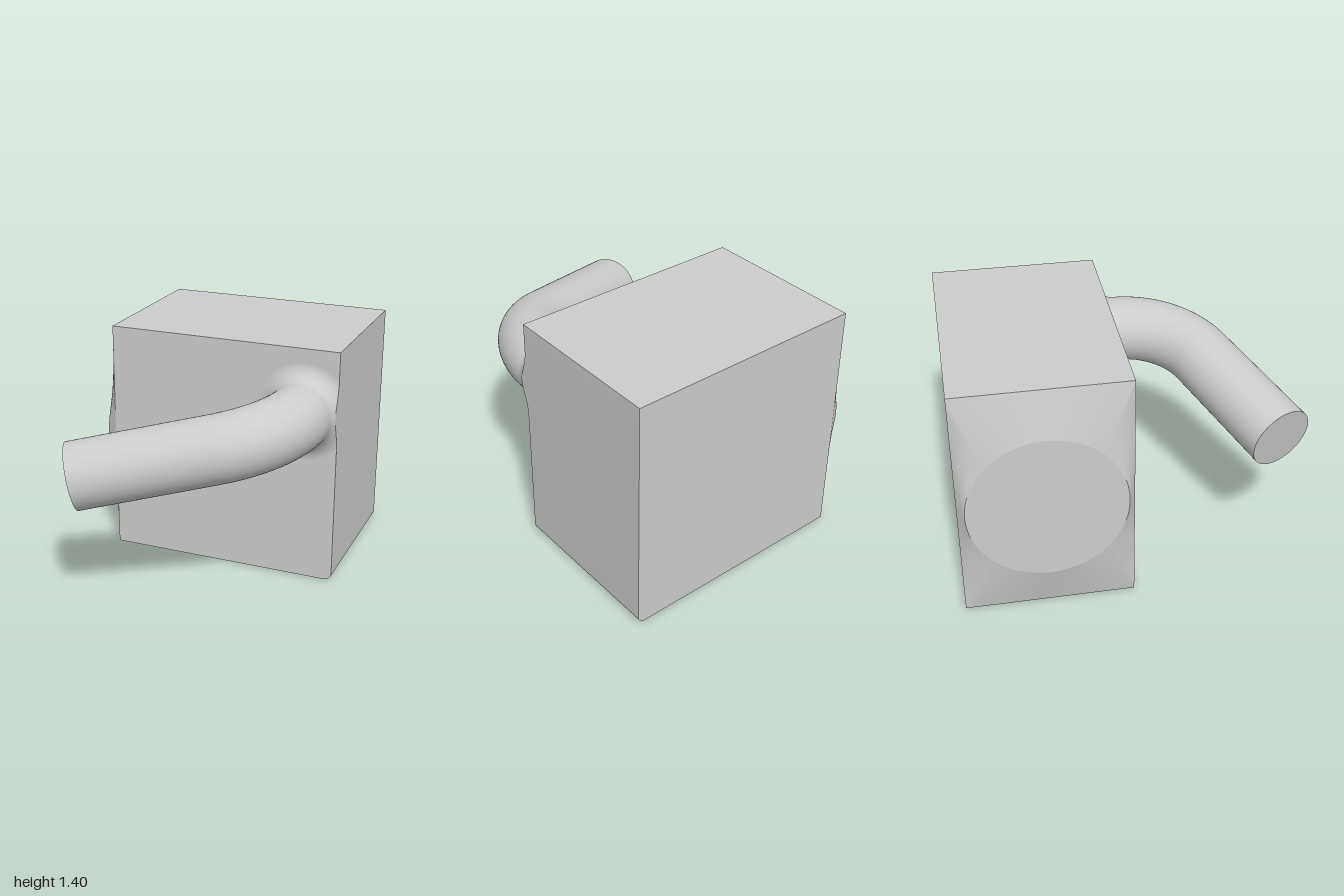
import * as THREE from 'three';
import { toCreasedNormals } from 'three/addons/utils/BufferGeometryUtils.js';
import { ParametricGeometry } from 'three/addons/geometries/ParametricGeometry.js';

const X0 = -0.66, X1 = 0.73, H = 1.4, ZB = -1, ZF = -0.04; // block bounds
const PX = 0.525, PY = 1.03, PR = 0.19, FR = 0.1;          // pipe root and fillet

export function createModel() {
  const grey = new THREE.MeshStandardMaterial({ color: 0xcccccc });
  grey.name = 'light grey';
  const model = new THREE.Group();
  const add = (name, geometry) => {
    const mesh = new THREE.Mesh(geometry, grey);
    mesh.name = name;
    model.add(mesh);
    return mesh;
  };

  // Block with one rounded lower edge
  const r = 0.045;
  const outline = new THREE.Shape();
  outline.moveTo(X0, 0);
  outline.lineTo(X1 - r, 0);
  outline.absarc(X1 - r, r, r, -Math.PI / 2, 0, false);
  outline.lineTo(X1, H);
  outline.lineTo(X0, H);
  outline.closePath();
  const block = new THREE.ExtrudeGeometry(outline, { depth: ZF - ZB, bevelEnabled: false, curveSegments: 12 });
  block.translate(0, 0, ZB);
  add('block', toCreasedNormals(block, 0.4));

  // Side boss: straight loft from the block's rectangle to a disc
  const cx = -0.73, cy = 0.695, cz = (ZB + ZF) / 2, cr = 0.44;
  const corners = [[H, ZF], [H, ZB], [0, ZB], [0, ZF]];
  add('sideBossLoft', new ParametricGeometry((u, v, p) => {
    const side = Math.min(3, Math.floor(u * 4 + 1e-9)), t = u * 4 - side;
    const a = corners[side], b = corners[(side + 1) % 4];
    const angle = u * Math.PI * 2 - Math.PI / 4;
    p.set(
      THREE.MathUtils.lerp(X0, cx, v),
      THREE.MathUtils.lerp(a[0] + (b[0] - a[0]) * t, cy + cr * Math.cos(angle), v),
      THREE.MathUtils.lerp(a[1] + (b[1] - a[1]) * t, cz - cr * Math.sin(angle), v)
    );
  }, 80, 8));
  const disc = add('sideBossFace', new THREE.CircleGeometry(cr, 80));
  disc.position.set(cx, cy, cz);
  disc.rotation.y = -Math.PI / 2;

  // Bent pipe: straight, arc, straight
  const start = new THREE.Vector3(PX, PY, ZF);
  const corner = new THREE.Vector3(PX, PY, 0.395);
  const end = new THREE.Vector3(-0.482, 0.814, 0.822);
  const dir = end.clone().sub(corner).normalize();
  const along = new THREE.Vector3(0, 0, 1);
  const T = 0.34, k = 0.606;
  const p1 = corner.clone().addScaledVector(along, -T);
  const p2 = corner.clone().addScaledVector(dir, T);
  const path = new THREE.CurvePath();
  path.add(new THREE.LineCurve3(start, p1));
  path.add(new THREE.CubicBezierCurve3(
    p1, p1.clone().addScaledVector(along, T * k), p2.clone().addScaledVector(dir, -T * k), p2));
  path.add(new THREE.LineCurve3(p2, end));
  add('pipe', new THREE.TubeGeometry(path, 100, PR, 64, false));
  const cap = add('pipeEnd', new THREE.CircleGeometry(PR, 64));
  cap.position.copy(end);
  cap.lookAt(end.clone().add(dir));

  // Fillet at the pipe root, trimmed by the block's side plane
  const reach = X1 - PX;
  const maxPhi = (angle) => {
    const c = Math.cos(angle);
    const limit = c > 0 ? Math.min(PR + FR, reach / c) : PR + FR;
    return Math.acos((PR + FR - limit) / FR);
  };
  add('pipeFillet', new ParametricGeometry((u, v, p) => {
    const angle = -u * Math.PI * 2, phi = v * maxPhi(angle);
    const rad = PR + FR - FR * Math.cos(phi);
    p.set(PX + rad * Math.cos(angle), PY + rad * Math.sin(angle), ZF + FR - FR * Math.sin(phi));
  }, 128, 16));

  // Flat face where the fillet is trimmed
  const half = Math.acos(reach / (PR + FR));
  const trim = new ParametricGeometry((u, v, p) => {
    const angle = (u * 2 - 1) * half;
    const edge = ZF + FR - FR * Math.sin(maxPhi(angle));
    p.set(X1, PY + reach * Math.tan(angle), THREE.MathUtils.lerp(ZF, edge, v));
  }, 48, 1);
  trim.computeVertexNormals();
  add('filletTrimFace', trim);

  return model;
}
